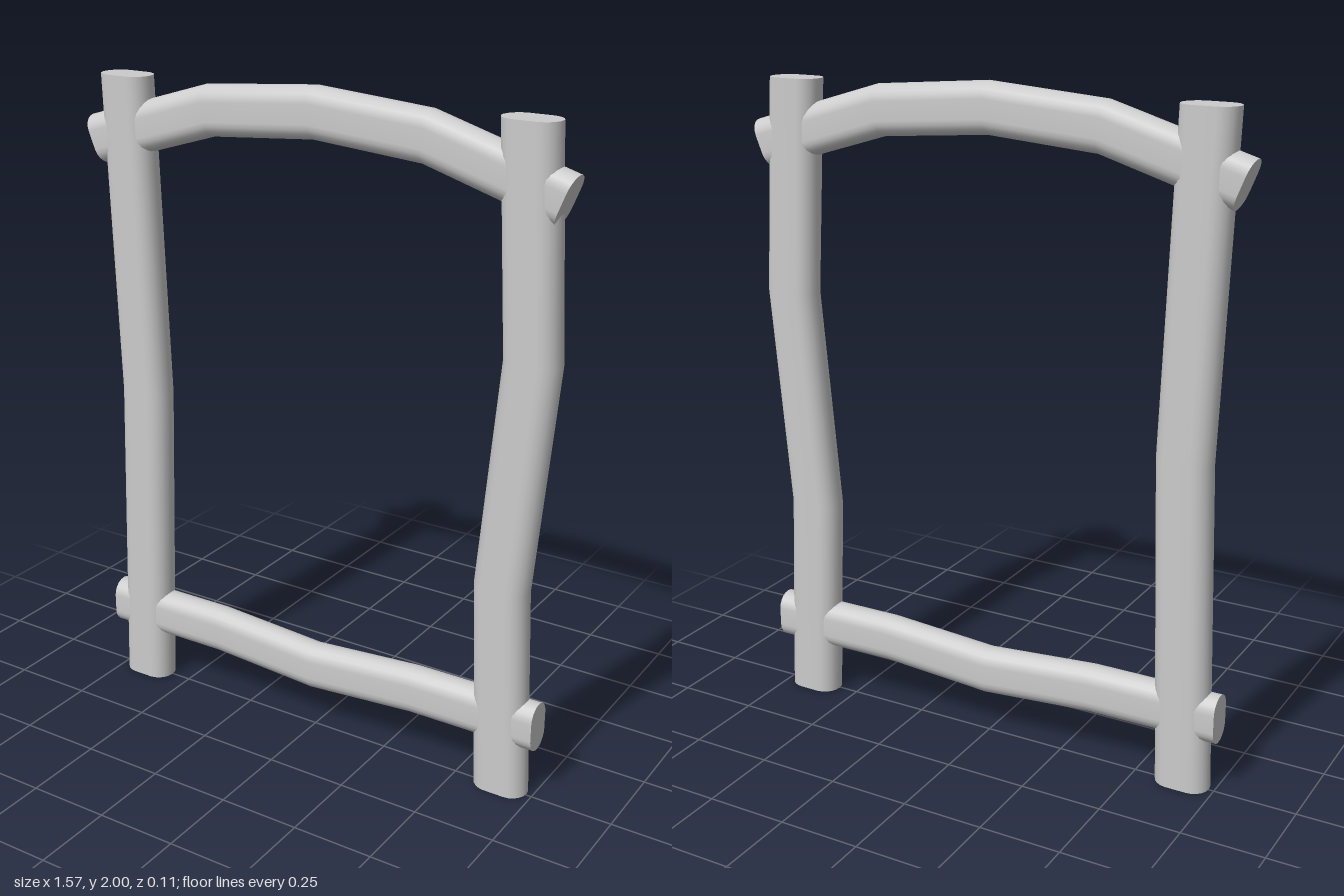
import * as THREE from 'three';

const material = new THREE.MeshStandardMaterial({ color: 0xcccccc });

// Oval cross-section: two half circles joined by flat sides; u = wide axis, v = depth
function ovalSection(halfWidth, halfDepth) {
  const ring = [], steps = 10;
  for (const side of [0, 1]) {
    for (let k = 0; k <= steps; k++) {
      const a = -Math.PI / 2 + Math.PI * (side + k / steps);
      const shift = (side ? -1 : 1) * (halfWidth - halfDepth);
      ring.push([shift + Math.cos(a) * halfDepth, Math.sin(a) * halfDepth]);
    }
  }
  return ring;
}

// Log swept through stations [x, y, z, angle of the log's direction]
function makeLog(name, stations, halfWidth, halfDepth) {
  const section = ovalSection(halfWidth, halfDepth);
  const n = section.length, last = stations.length - 1;
  const positions = [], index = [];
  const addRing = ([x, y, z, a]) => {
    for (const [u, v] of section) positions.push(x - Math.sin(a) * u, y + Math.cos(a) * u, z + v);
  };
  stations.forEach(addRing);
  for (let i = 0; i < last; i++) {
    for (let j = 0; j < n; j++) {
      const a = i * n + j, b = i * n + (j + 1) % n;
      index.push(a, b, a + n, b, b + n, a + n);
    }
  }
  // Sawn ends get their own vertices so their edges stay sharp
  for (const end of [0, last]) {
    const start = positions.length / 3;
    addRing(stations[end]);
    for (let j = 1; j < n - 1; j++) {
      if (end) index.push(start, start + j, start + j + 1);
      else index.push(start, start + j + 1, start + j);
    }
  }
  const geometry = new THREE.BufferGeometry();
  geometry.setAttribute('position', new THREE.Float32BufferAttribute(positions, 3));
  geometry.setIndex(index);
  geometry.computeVertexNormals();
  const mesh = new THREE.Mesh(geometry, material);
  mesh.name = name;
  return mesh;
}

export function createModel() {
  const model = new THREE.Group();
  model.name = 'logFrame';
  const up = Math.PI / 2;
  const zLeft = 0.003, zRight = -0.006;
  const railZ = x => THREE.MathUtils.mapLinear(x, -0.65, 0.65, zLeft, zRight);

  // Upright posts, gently crooked
  const rightPost = [[0, -0.65], [1, -0.618], [1.975, -0.65]];
  const leftPost = [[0, 0.648], [0.65, 0.622], [1.33, 0.682], [1.975, 0.645]];
  model.add(makeLog('rightPost', rightPost.map(([y, x]) => [x, y, zLeft, up]), 0.084, 0.052));
  model.add(makeLog('leftPost', leftPost.map(([y, x]) => [x, y, zRight, up]), 0.084, 0.052));

  // Arched top rail and sagging bottom rail, both poking through the posts
  const topRail = [[-0.757, 1.775, 0.38], [-0.35, 1.897, 0.14], [0, 1.925, 0],
    [0.35, 1.897, -0.14], [0.757, 1.775, -0.38]];
  const bottomRail = [[-0.755, 0.235, 0], [-0.35, 0.235, 0], [0, 0.21, 0],
    [0.35, 0.235, 0], [0.755, 0.235, 0]];
  model.add(makeLog('topRail', topRail.map(([x, y, a]) => [x, y, railZ(x), a]), 0.075, 0.047));
  model.add(makeLog('bottomRail', bottomRail.map(([x, y, a]) => [x, y, railZ(x), a]), 0.075, 0.047));
  return model;
}
